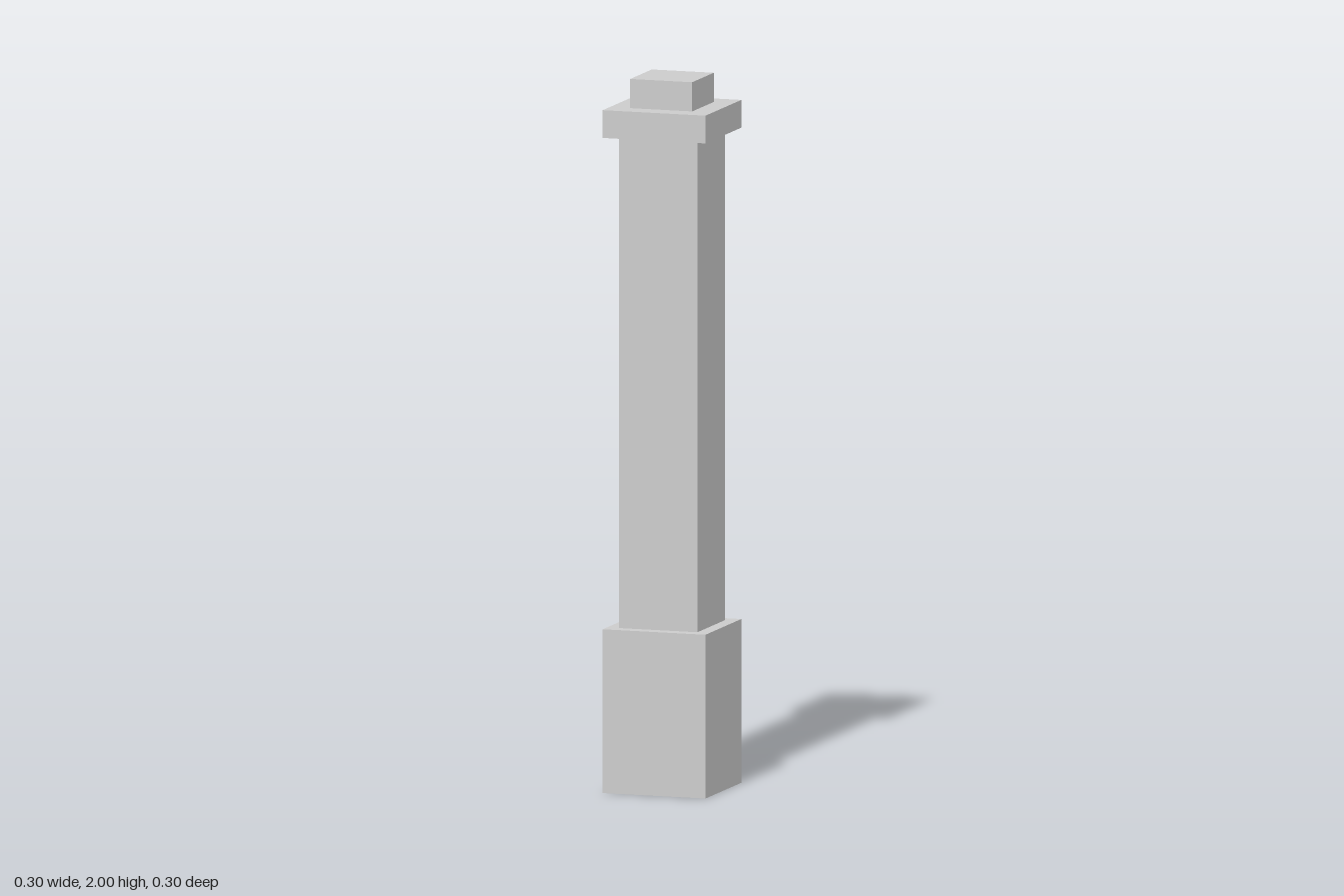
import * as THREE from 'three';

export function createModel() {
  const group = new THREE.Group();
  group.name = 'squarePillar';
  const material = new THREE.MeshStandardMaterial({
    color: 0xcccccc, flatShading: true, side: THREE.DoubleSide,
  });

  // Square shell from a profile of [half width, height] points, bottom to top
  const addShell = (name, profile) => {
    const points = profile.map(([half, y]) => new THREE.Vector2(half * Math.SQRT2, y));
    const mesh = new THREE.Mesh(new THREE.LatheGeometry(points, 4, Math.PI / 4), material);
    mesh.name = name;
    group.add(mesh);
  };

  const wide = 0.151, shaft = 0.115, top = 0.091;
  const baseTop = 0.46, shaftTop = 1.84, capTop = 1.918;

  // Plinth, hollow and open underneath, with the ledge around the shaft
  addShell('base', [[wide, 0], [wide, baseTop], [shaft, baseTop]]);
  // Tall plain shaft
  addShell('shaft', [[shaft, baseTop], [shaft, shaftTop]]);
  // Overhanging cap slab
  addShell('cap', [[shaft, shaftTop], [wide, shaftTop], [wide, capTop], [top, capTop]]);
  // Small closed block on top
  addShell('topBlock', [[top, capTop], [top, 2], [0, 2]]);

  return group;
}
